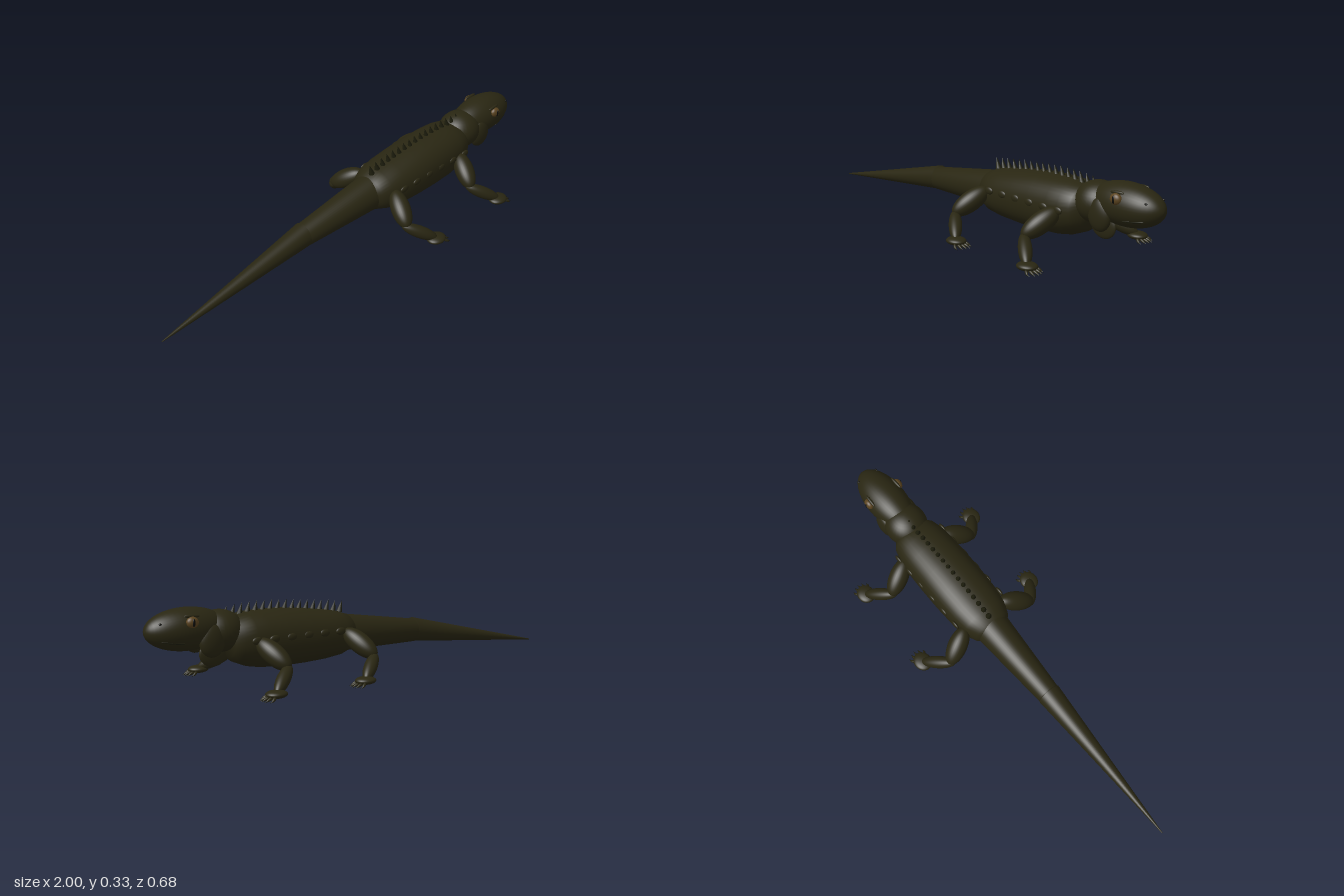
import * as THREE from 'three';

const mat = (name, color) => {
  const m = new THREE.MeshStandardMaterial({ color });
  m.name = name;
  return m;
};

// Smooth skin along x from sections [x, centreY, radiusY, radiusZ]; power > 2 squares the ring
function loft(sections, power = 2, sides = 40) {
  const pos = [], idx = [], e = 2 / power;
  const bend = v => Math.sign(v) * Math.abs(v) ** e;
  sections.forEach(([x, y, ry, rz], i) => {
    for (let j = 0; j < sides; j++) {
      const a = j / sides * Math.PI * 2;
      pos.push(x, y + ry * bend(Math.cos(a)), rz * bend(Math.sin(a)));
      if (i === sections.length - 1) continue;
      const p = i * sides + j, q = i * sides + (j + 1) % sides;
      idx.push(p, q, p + sides, q, q + sides, p + sides);
    }
  });
  const g = new THREE.BufferGeometry();
  g.setAttribute('position', new THREE.Float32BufferAttribute(pos, 3));
  g.setIndex(idx);
  g.computeVertexNormals();
  return g;
}

export function createModel() {
  const root = new THREE.Group();
  root.name = 'lizard';
  const skin = mat('olive skin', 0x292612);
  const crest = mat('dark crest', 0x1d1d0d);
  const amber = mat('amber eye', 0x5a431f);
  const black = mat('black', 0x0b0b07);

  const add = (parent, name, geo, material, p = [0, 0, 0]) => {
    const m = new THREE.Mesh(geo, material);
    m.name = name;
    m.position.set(...p);
    parent.add(m);
    return m;
  };
  const ball = (parent, name, p, r, material = skin) => {
    const m = add(parent, name, new THREE.SphereGeometry(1, 32, 20), material, p);
    m.scale.set(...r);
    return m;
  };
  // Ellipsoid limb stretched between two points
  const limb = (parent, name, a, b, r, over = 0.02, material = skin) => {
    const A = new THREE.Vector3(...a), B = new THREE.Vector3(...b);
    const d = B.clone().sub(A);
    const m = ball(parent, name, A.clone().add(B).multiplyScalar(0.5).toArray(), [r, d.length() / 2 + over, r], material);
    m.quaternion.setFromUnitVectors(new THREE.Vector3(0, 1, 0), d.normalize());
    return m;
  };

  // Trunk
  add(root, 'body', loft([
    [0.06, 0.17, 0, 0], [0.07, 0.17, 0.05, 0.055], [0.1, 0.17, 0.076, 0.088], [0.15, 0.17, 0.092, 0.11],
    [0.22, 0.172, 0.102, 0.121], [0.32, 0.176, 0.111, 0.125], [0.42, 0.18, 0.116, 0.125], [0.52, 0.183, 0.114, 0.122],
    [0.58, 0.187, 0.107, 0.117], [0.63, 0.192, 0.092, 0.104], [0.66, 0.195, 0.072, 0.08], [0.69, 0.2, 0, 0],
  ], 2.2), skin);

  // Tail in two tapering lengths
  add(root, 'tailBase', loft([
    [-0.27, 0.14, 0, 0], [-0.27, 0.14, 0.05, 0.05], [0.1, 0.167, 0.077, 0.077], [0.16, 0.171, 0.081, 0.081],
  ]), skin);
  add(root, 'tailTip', loft([[-1, 0.025, 0.002, 0.002], [-0.275, 0.143, 0.052, 0.052], [-0.27, 0.143, 0, 0]]), skin);

  // Neck, throat and head
  ball(root, 'neck', [0.69, 0.23, 0], [0.1, 0.083, 0.092]);
  ball(root, 'dewlap', [0.715, 0.145, 0], [0.062, 0.053, 0.014]);
  add(root, 'head', loft(Array.from({ length: 25 }, (_, i) => {
    const t = Math.PI * i / 24, s = Math.sin(t);
    return [0.83 - 0.17 * Math.cos(t), 0.25, 0.083 * s, 0.086 * s];
  })), skin);

  for (const s of [1, -1]) {
    const side = s > 0 ? 'left' : 'right';
    ball(root, side + 'Jowl', [0.755, 0.205, 0.066 * s], [0.054, 0.064, 0.026]);
    ball(root, side + 'Eye', [0.842, 0.284, 0.077 * s], [0.025, 0.022, 0.017], amber);
    ball(root, side + 'Pupil', [0.843, 0.284, 0.091 * s], [0.006, 0.015, 0.0045], black);
    limb(root, side + 'Brow', [0.815, 0.305, 0.07 * s], [0.865, 0.308, 0.068 * s], 0.007, 0.006);
    ball(root, side + 'Nostril', [0.957, 0.283, 0.047 * s], [0.006, 0.004, 0.004], black);
    limb(root, side + 'Mouth', [0.87, 0.205, 0.07 * s], [0.95, 0.216, 0.051 * s], 0.004, 0.005, crest);

    // Flank scales
    for (let i = 0; i < 6; i++)
      ball(root, side + 'FlankScale', [0.2 + i * 0.078, 0.195, 0.12 * s], [0.023, 0.015, 0.008]);

    // Legs: the front pair repeats the hind pair further along
    for (const [name, x] of [['Hind', 0], ['Front', 0.41]]) {
      const leg = new THREE.Group();
      leg.name = side + name + 'Leg';
      leg.position.x = x;
      root.add(leg);
      limb(leg, 'upperLeg', [0.158, 0.183, 0.108 * s], [0.112, 0.108, 0.215 * s], 0.042);
      limb(leg, 'lowerLeg', [0.107, 0.096, 0.22 * s], [0.2, 0.036, 0.293 * s], 0.027);
      ball(leg, 'foot', [0.212, 0.025, 0.3 * s], [0.044, 0.016, 0.038]);
      for (let k = -2; k <= 2; k++) {
        const z = 0.3 + k * 0.0125;
        limb(leg, 'toe', [0.232, 0.02, z * s], [0.266 - 0.004 * k * k, 0.009, (z + k * 0.005) * s], 0.006, 0.004);
        const claw = add(leg, 'claw', new THREE.ConeGeometry(0.004, 0.016, 8), crest,
          [0.272 - 0.004 * k * k, 0.0065, (z + k * 0.005) * s]);
        claw.rotation.z = -1.9;
      }
    }
  }

  // Row of spines down the back, tips leaning towards the tail
  for (let i = 0; i < 17; i++) {
    const t = i / 16, x = 0.115 + t * 0.545;
    const y = 0.277 + 0.034 * Math.sin(Math.min(1, t * 1.25) * Math.PI / 2) - 0.01 * Math.max(0, t - 0.8) * 5;
    const spine = add(root, 'backSpine', new THREE.ConeGeometry(0.013, 0.048, 10), crest, [x, y, 0]);
    spine.rotation.z = 0.28;
  }
  return root;
}
